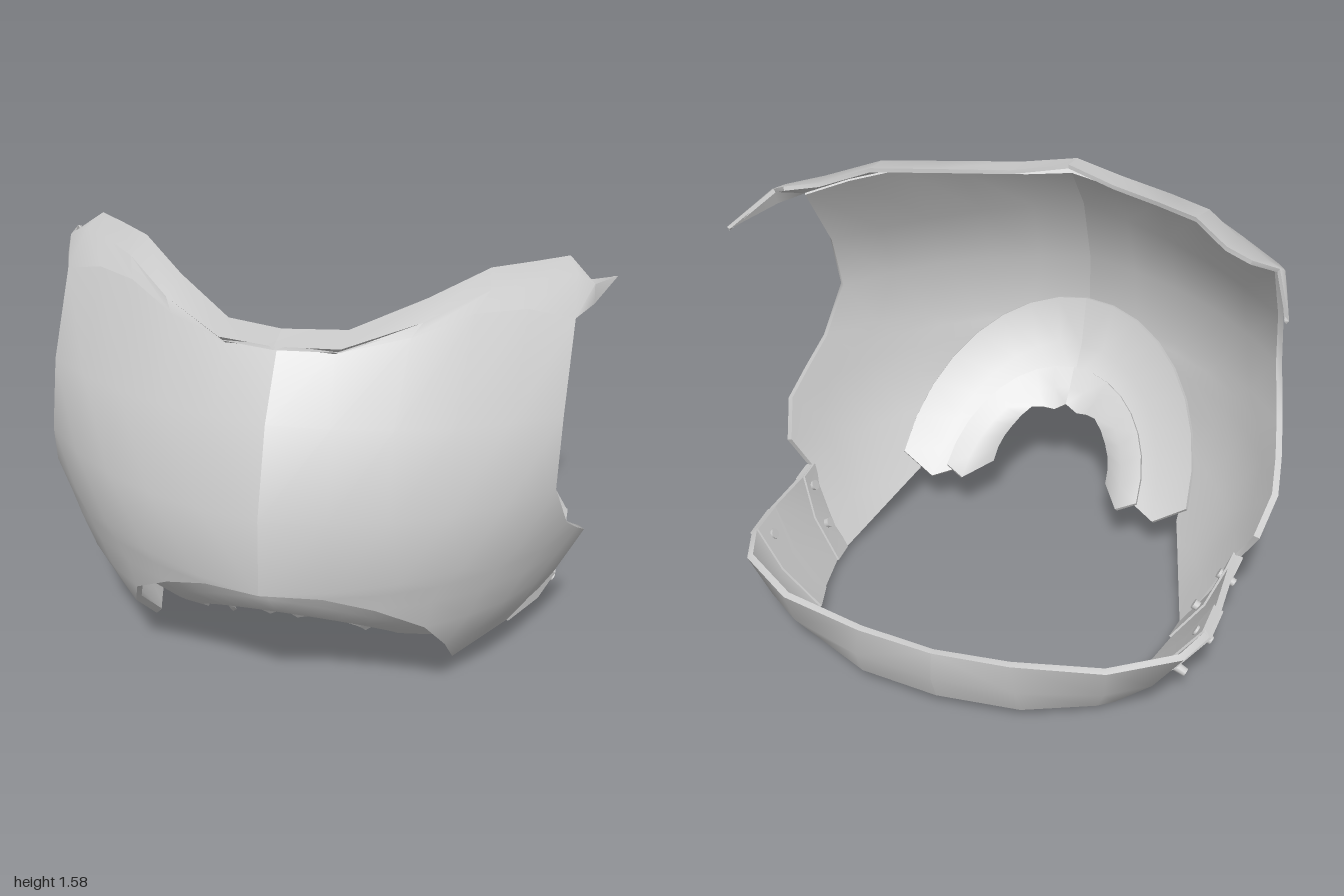
import * as THREE from 'three';
import { toCreasedNormals } from 'three/addons/utils/BufferGeometryUtils.js';

const metal = new THREE.MeshStandardMaterial({ color: 0xcccccc, side: THREE.DoubleSide });
const V = (x, y, z) => new THREE.Vector3(x, y, z);

// Closed sheet from rows of points (top to bottom); s = -1 gives the mirrored half
function sheet(rows, thickness, s, lift = 0) {
  const nr = rows.length, nc = rows[0].length, n = nr * nc;
  const pts = rows.flat();
  const faces = [];
  for (let r = 0; r < nr - 1; r++) {
    for (let c = 0; c < nc - 1; c++) {
      const a = r * nc + c, b = a + 1, d = a + nc, e = d + 1;
      faces.push(a, d, b, b, d, e);
    }
  }
  const base = new THREE.BufferGeometry().setFromPoints(pts);
  base.setIndex(faces);
  base.computeVertexNormals();
  const layer = off => pts.map((p, i) => {
    const q = V(0, 0, 0).fromBufferAttribute(base.attributes.normal, i).multiplyScalar(off).add(p);
    return V(p.x === 0 ? 0 : s * q.x, q.y, q.z);
  });
  const all = [];
  for (let i = 0; i < faces.length; i += 3) {
    const [a, b, c] = faces.slice(i, i + 3);
    all.push(a, b, c, a + n, c + n, b + n);
  }
  // rim around the border, left open on the centre line
  const border = [];
  for (let c = 0; c < nc - 1; c++) border.push(c);
  for (let r = 0; r < nr - 1; r++) border.push(r * nc + nc - 1);
  for (let c = nc - 1; c > 0; c--) border.push((nr - 1) * nc + c);
  for (let r = nr - 1; r > 0; r--) border.push(r * nc);
  border.forEach((a, i) => {
    const b = border[(i + 1) % border.length];
    if (pts[a].x === 0 && pts[b].x === 0) return;
    all.push(a, b, a + n, b, b + n, a + n);
  });
  if (s < 0) all.reverse();
  const g = new THREE.BufferGeometry().setFromPoints([...layer(lift), ...layer(lift - thickness)]);
  g.setIndex(all);
  return toCreasedNormals(g, 0.85);
}

// Bowed row of six points from one edge of the plate to the other
function bowedRow(start, end, bow) {
  const out = V(start.z - end.z, 0, end.x - start.x).normalize();
  const control = start.clone().lerp(end, 0.5).addScaledVector(out, 2 * bow);
  return new THREE.QuadraticBezierCurve3(start, control, end).getPoints(5);
}

// Quarter arch from the centre line down to its side tip, with an optional scalloped edge
function arch(halfWidth, yTop, yTip, zTop, zTip, scallop = 0) {
  return Array.from({ length: 9 }, (_, i) => {
    const t = i * Math.PI / 16, k = Math.cos(t);
    const y = yTip + (yTop - yTip) * k - scallop * k ** 4 * Math.sin(7 * t);
    return V(halfWidth * Math.sin(t), y, zTip + (zTop - zTip) * k);
  });
}

// Flared collar: neckline and inner edge meet at the pointed shoulder tip, the lip overhangs the front
const tip = V(1, 1.44, -.25);
const neck = [V(0, 1.465, .61), V(.18, 1.445, .58), V(.4, 1.47, .46), V(.58, 1.51, .32),
  V(.74, 1.49, .2), V(.89, 1.44, .13), V(.94, 1.44, 0), tip];
const inner = [V(0, 1.5, .55), V(.2, 1.48, .47), V(.42, 1.53, .28), V(.6, 1.58, .1),
  V(.74, 1.56, -.04), V(.84, 1.56, -.11), V(.92, 1.51, -.04), tip];
const lip = neck.map((p, i) => p.clone().lerp(inner[i], .3 + .09 * i)
  .add(V(.004 * i * (7 - i) / 2, .01 * (1 - i / 7), .06 * (1 - i / 7))));

// Chest plate rows, from the centre or belly arch to the arm opening
const plate = [
  neck.slice(0, 6),
  bowedRow(V(0, 1.27, .77), V(.89, 1.17, .31), .07),
  bowedRow(V(0, .98, .88), V(.89, .93, .38), .1),
  bowedRow(V(0, .7, .89), V(.93, .74, .28), .12),
  bowedRow(V(.2, .68, .835), V(.96, .65, .16), .11),
  bowedRow(V(.36, .61, .76), V(.98, .57, .04), .1),
  bowedRow(V(.51, .49, .65), V(.945, .44, -.06), .08),
  bowedRow(V(.565, .34, .53), V(.88, .32, -.03), .04),
  bowedRow(V(.565, .14, .33), V(.79, .15, -.08), .01),
  bowedRow(V(.565, .14, .33), V(.71, .005, -.12), 0),
];

// Nested belly lames tucked under the arch
const upperLame = [arch(.6, .8, .25, .83, .28), arch(.47, .61, .17, .78, .26), arch(.36, .49, .2, .68, .32)];
const lowerLame = [arch(.4, .55, .24, .68, .26), arch(.33, .48, .215, .63, .23), arch(.25, .43, .23, .58, .37, .03)];

// Back belt edges in plan (x, z), from the chest plate round to the spine
const beltTop = [[.88, -.03], [.875, -.13], [.885, -.35], [.88, -.5], [.825, -.64], [.6, -.79], [.28, -.855], [0, -.87]]
  .map(([x, z], i) => V(x, .32 - .04 * (i / 7) ** 2, z));
const beltBottom = [[.71, -.12], [.7, -.22], [.66, -.41], [.62, -.53], [.59, -.63], [.54, -.68], [.3, -.8], [0, -.84]]
  .map(([x, z], i) => V(x, .005 + .06 * i / 7, z));
const beltMiddle = beltTop.map((p, i) => {
  const m = p.clone().lerp(beltBottom[i], .5);
  return m.add(V(m.x, 0, m.z).normalize().multiplyScalar(.025));
});
const belt = [beltTop, beltMiddle, beltBottom];
const strap = first => belt.map(row => row.slice(first, first + 2));

export function createModel() {
  const model = new THREE.Group();
  for (const s of [1, -1]) {
    const half = new THREE.Group();
    half.name = s > 0 ? 'leftHalf' : 'rightHalf';
    model.add(half);
    const add = (name, geometry) => {
      const mesh = new THREE.Mesh(geometry, metal);
      mesh.name = name;
      half.add(mesh);
      return mesh;
    };
    add('chestPlate', sheet(plate, .025, s));
    add('collar', sheet([inner, lip, neck], .015, s));
    add('upperBellyLame', sheet(upperLame, .015, s));
    add('lowerBellyLame', sheet(lowerLame, .015, s));
    add('backBelt', sheet(belt, .025, s));
    add('frontStrap', sheet(strap(0), .041, s, .008));
    add('rearStrap', sheet(strap(2), .041, s, .008));
    // rivets pass through the straps and show on both faces
    const outward = V(s * .88, -.47, 0).normalize();
    for (const z of [-.1, -.44]) {
      for (const lower of [0, 1]) {
        const rivet = add('rivet', new THREE.CylinderGeometry(.016, .02, .07, 10));
        rivet.position.set(s * (.845 - .075 * lower), .265 - .135 * lower, z - .04 * lower);
        rivet.quaternion.setFromUnitVectors(V(0, 1, 0), outward);
      }
    }
  }
  return model;
}
